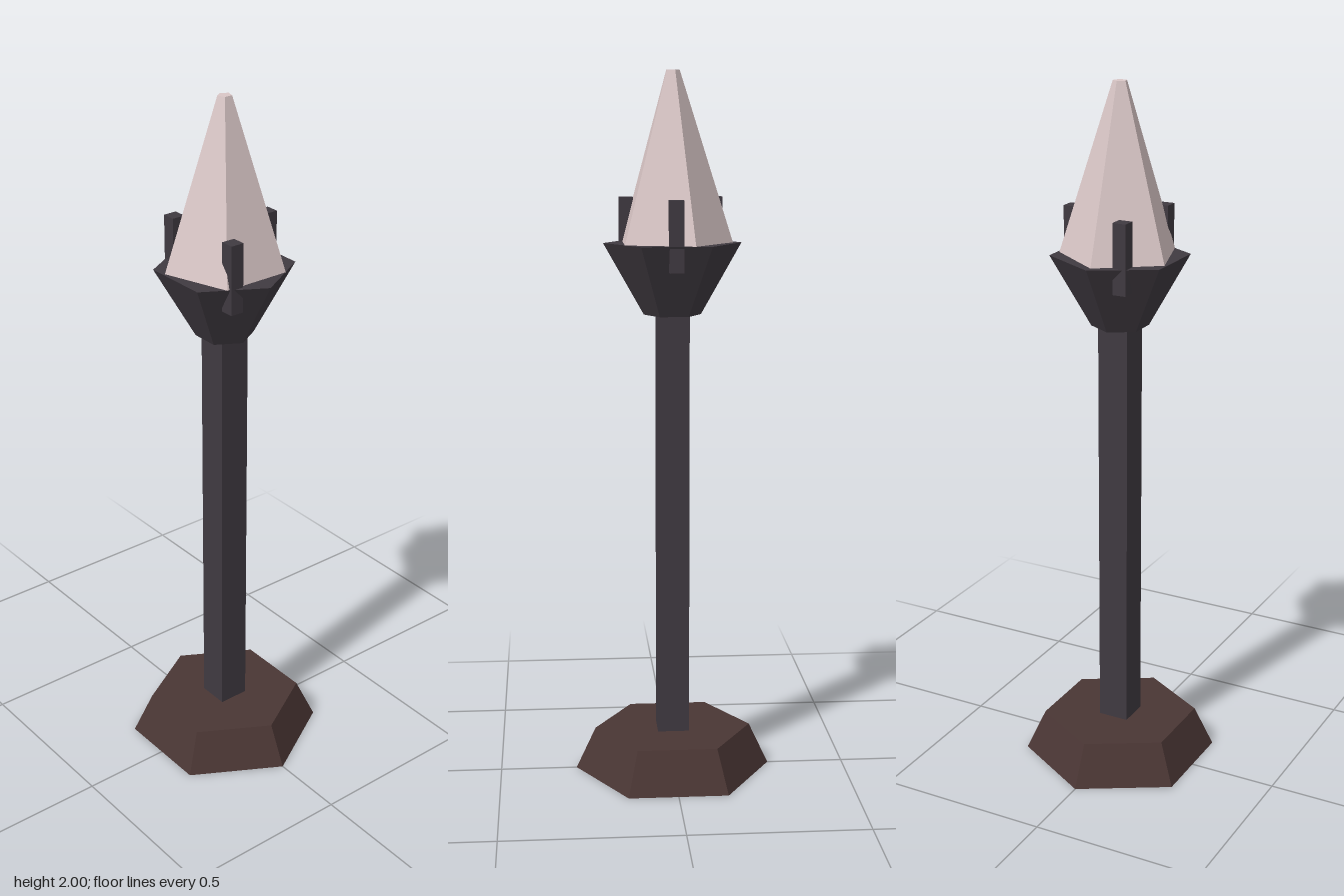
import * as THREE from 'three';

export function createModel() {
  const model = new THREE.Group();
  model.name = 'crystalTorch';

  const material = (name, color) => {
    const m = new THREE.MeshStandardMaterial({ color, flatShading: true });
    m.name = name;
    return m;
  };
  const stone = material('brown stone', 0x4a3634);
  const iron = material('dark iron', 0x403a41);
  const crystal = material('pale crystal', 0xdac7c7);

  const add = (name, geometry, mat, x, y, z) => {
    const mesh = new THREE.Mesh(geometry, mat);
    mesh.name = name;
    mesh.position.set(x, y, z);
    model.add(mesh);
    return mesh;
  };
  // Tapered prism standing between two heights
  const prism = (name, rTop, rBottom, y0, y1, sides, mat) =>
    add(name, new THREE.CylinderGeometry(rTop, rBottom, y1 - y0, sides), mat, 0, (y0 + y1) / 2, 0);

  // Foot, square post and flared holder
  prism('base', 0.225, 0.281, 0, 0.12, 6, stone);
  add('post', new THREE.BoxGeometry(0.09, 1.23, 0.09), iron, 0, 0.725, 0);
  prism('holder', 0.193, 0.08, 1.33, 1.53, 6, iron);

  // Five-sided crystal with one edge at the back
  prism('crystal', 0.02, 0.169, 1.53, 2, 5, crystal).rotation.y = Math.PI;

  // Three upright prongs around the holder rim
  const prongGeometry = new THREE.BoxGeometry(0.039, 0.195, 0.039);
  for (let i = 0; i < 3; i++) {
    const a = (i * Math.PI * 2) / 3;
    add('prong' + (i + 1), prongGeometry, iron, Math.cos(a) * 0.145, 1.556, Math.sin(a) * 0.145);
  }

  return model;
}
